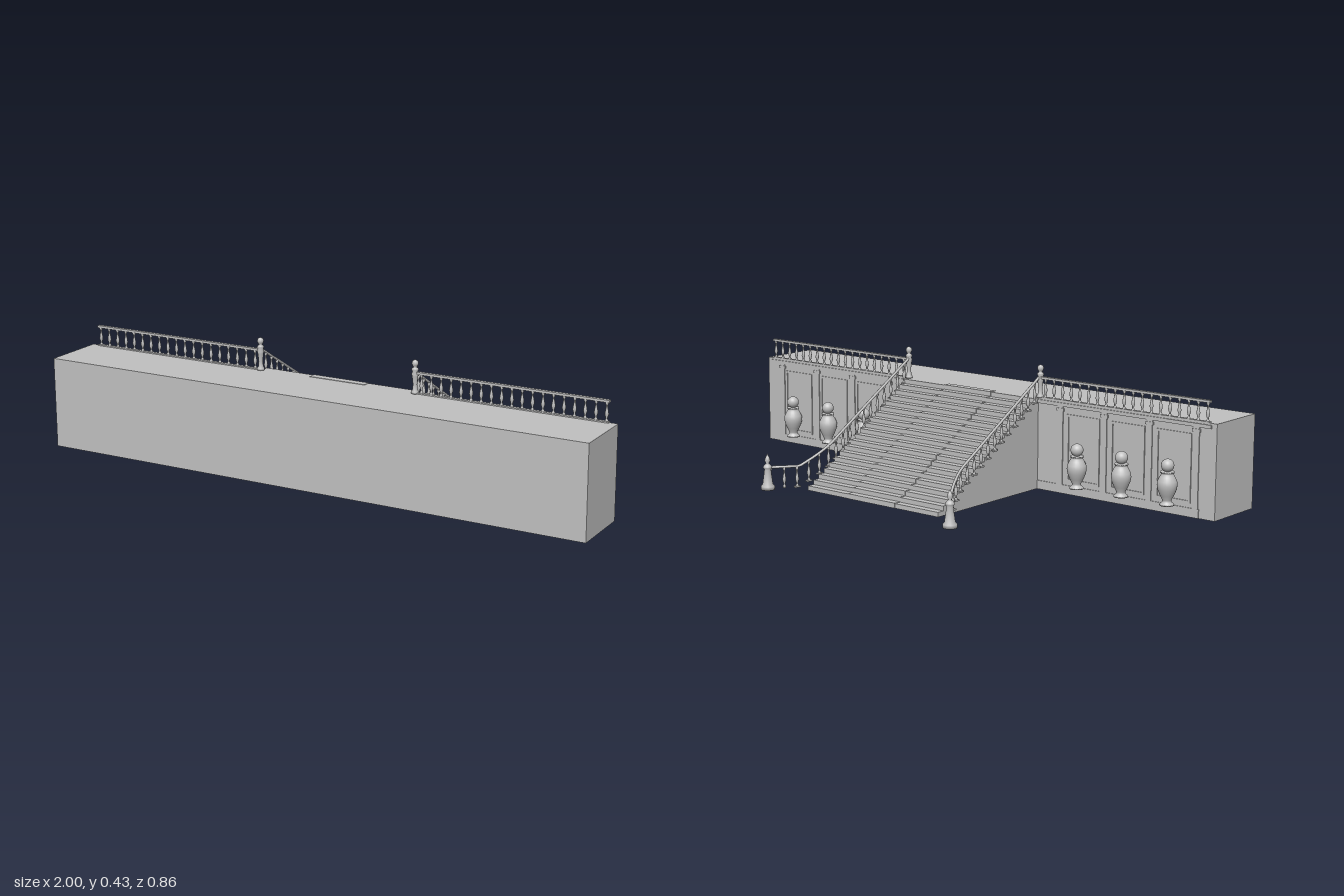
import * as THREE from 'three';

const stone = new THREE.MeshStandardMaterial({ color: 0xc0c0c0 });
stone.name = 'stone grey';

const TOP = 0.317, STAIR_W = 0.29, STEPS = 20, BACK = 0.2, FOOT = -0.327;

function add(parent, name, geo, x = 0, y = 0, z = 0) {
  const m = new THREE.Mesh(geo, stone);
  m.name = name;
  m.position.set(x, y, z);
  parent.add(m);
  return m;
}
const box = (w, h, d) => new THREE.BoxGeometry(w, h, d);
const lathe = (pts, seg) =>
  new THREE.LatheGeometry(pts.map(([r, y]) => new THREE.Vector2(r, y)), seg);

// Stepped side profile extruded across the width
function stairGeometry(width, lift) {
  const run = (BACK - FOOT) / STEPS, rise = TOP / STEPS;
  const s = new THREE.Shape();
  s.moveTo(-BACK, 0);
  s.lineTo(-FOOT + lift, 0);
  for (let i = 0; i < STEPS; i++) {
    const u = -FOOT - i * run + lift, y = (i + 1) * rise + lift;
    s.lineTo(u, y);
    s.lineTo(i === STEPS - 1 ? -BACK : u - run, y);
  }
  s.closePath();
  const g = new THREE.ExtrudeGeometry(s, { depth: width, bevelEnabled: false });
  g.translate(0, 0, -width / 2);
  return g.rotateY(Math.PI / 2);
}

// Handrail height and sideways sweep along the stair
const railY = z => Math.max(0.077, 0.388 + 0.598 * (z - BACK));
const railX = z => 0.293 + 0.112 * Math.pow(Math.max(0, (-0.2 - z) / 0.205), 1.7);

const balusterGeo = lathe([
  [0, 0], [0.0055, 0], [0.0055, 0.007], [0.003, 0.011], [0.0035, 0.016], [0.0065, 0.026],
  [0.0055, 0.034], [0.0028, 0.05], [0.0028, 0.056], [0.005, 0.06], [0.005, 0.068], [0, 0.068]], 10);

const urnGeo = lathe([
  [0, 0.035], [0.024, 0.035], [0.024, 0.04], [0.016, 0.046], [0.015, 0.053], [0.023, 0.068],
  [0.031, 0.088], [0.0335, 0.103], [0.032, 0.116], [0.025, 0.13], [0.02, 0.138], [0.02, 0.142],
  [0.023, 0.143], [0.023, 0.147], [0, 0.147]], 24);

const topPostGeo = lathe([
  [0, 0], [0.013, 0], [0.013, 0.006], [0.009, 0.012], [0.007, 0.03], [0.01, 0.058],
  [0.012, 0.065], [0.009, 0.074], [0.012, 0.08], [0.01, 0.085], [0.005, 0.088], [0.009, 0.094],
  [0.0115, 0.101], [0.009, 0.109], [0, 0.114]], 16);

const footPostGeo = lathe([
  [0, 0], [0.024, 0], [0.024, 0.012], [0.018, 0.018], [0.014, 0.045], [0.011, 0.07],
  [0.015, 0.075], [0.015, 0.08], [0.01, 0.086], [0.005, 0.091], [0.01, 0.1], [0.007, 0.111], [0, 0.125]], 16);

// Flat rectangular moulding with an open middle
function frameGeometry(w, h, t, depth) {
  const rect = (P, a, b) => {
    const p = new P();
    p.moveTo(-a, -b); p.lineTo(a, -b); p.lineTo(a, b); p.lineTo(-a, b); p.closePath();
    return p;
  };
  const s = rect(THREE.Shape, w / 2, h / 2);
  s.holes.push(rect(THREE.Path, w / 2 - t, h / 2 - t));
  return new THREE.ExtrudeGeometry(s, { depth, bevelEnabled: false });
}

// Swept handrail; points carry x, y and z
function railGeometry(side) {
  const pts = [];
  for (let i = 0; i <= 30; i++) {
    const z = BACK - i * (0.6 / 30);
    pts.push(new THREE.Vector3(side * railX(z), railY(z), z));
  }
  return new THREE.TubeGeometry(new THREE.CatmullRomCurve3(pts), 60, 0.0048, 8, false);
}

function buildSide(side) {
  const g = new THREE.Group();
  g.name = side > 0 ? 'leftSide' : 'rightSide';

  // Sloping, curving stair balustrade
  const stairRail = new THREE.Group();
  stairRail.name = 'stairBalustrade';
  g.add(stairRail);
  add(stairRail, 'handrail', railGeometry(side));
  for (let i = 0; i < 17; i++) {
    const z = 0.175 - i * 0.0358, x = side * railX(z), h = railY(z);
    const base = Math.max(0, h - 0.074);
    const b = add(stairRail, 'baluster', balusterGeo, x, base, z);
    b.scale.y = (h - base) / 0.068;
    if (i < 15) add(stairRail, 'balusterFoot', box(0.012, 0.005, 0.022), x, base + 0.0025, z);
  }
  add(g, 'topPost', topPostGeo, side * 0.295, TOP, 0.204);
  add(g, 'footPost', footPostGeo, side * 0.405, 0, -0.405);

  // Level balustrade along the terrace
  const terrace = new THREE.Group();
  terrace.name = 'terraceBalustrade';
  g.add(terrace);
  add(terrace, 'topRail', box(0.68, 0.008, 0.013), side * 0.632, 0.386, 0.203);
  add(terrace, 'bottomRail', box(0.68, 0.004, 0.013), side * 0.632, TOP + 0.002, 0.204);
  for (let i = 0; i < 19; i++) add(terrace, 'baluster', balusterGeo, side * (0.318 + i * 0.0358), TOP, 0.203);

  // Panelled wall with pilasters
  const wall = new THREE.Group();
  wall.name = 'panelledWall';
  g.add(wall);
  add(wall, 'cornice', box(0.69, 0.012, 0.006), side * 0.635, 0.305, 0.199);
  add(wall, 'plinth', box(0.65, 0.03, 0.005), side * 0.615, 0.015, 0.1995);
  for (let i = 0; i < 4; i++) {
    const x = side * (0.385 + i * 0.18);
    add(wall, 'pilaster', box(0.022, 0.27, 0.005), x, 0.165, 0.1995);
    add(wall, 'pilasterCap', box(0.03, 0.01, 0.007), x, 0.288, 0.1985);
  }

  // Urns in front of the framed bays
  for (let i = 0; i < 3; i++) {
    const x = side * (0.48 + i * 0.18);
    add(wall, 'panelFrame', frameGeometry(0.135, 0.23, 0.008, 0.004), x, 0.16, 0.1965);
    const urn = new THREE.Group();
    urn.name = 'urn';
    urn.position.set(x, 0, 0.165);
    add(urn, 'urnBody', urnGeo);
    add(urn, 'urnBall', new THREE.SphereGeometry(0.0215, 24, 16), 0, 0.167, 0);
    g.add(urn);
  }
  return g;
}

export function createModel() {
  const model = new THREE.Group();
  model.name = 'terraceStaircase';
  add(model, 'terraceBlock', box(2, TOP, 0.228), 0, TOP / 2, 0.314);
  add(model, 'staircase', stairGeometry(STAIR_W * 2, 0));
  add(model, 'stairRunner', stairGeometry(0.21, 0.0015));
  model.add(buildSide(1), buildSide(-1));
  return model;
}
